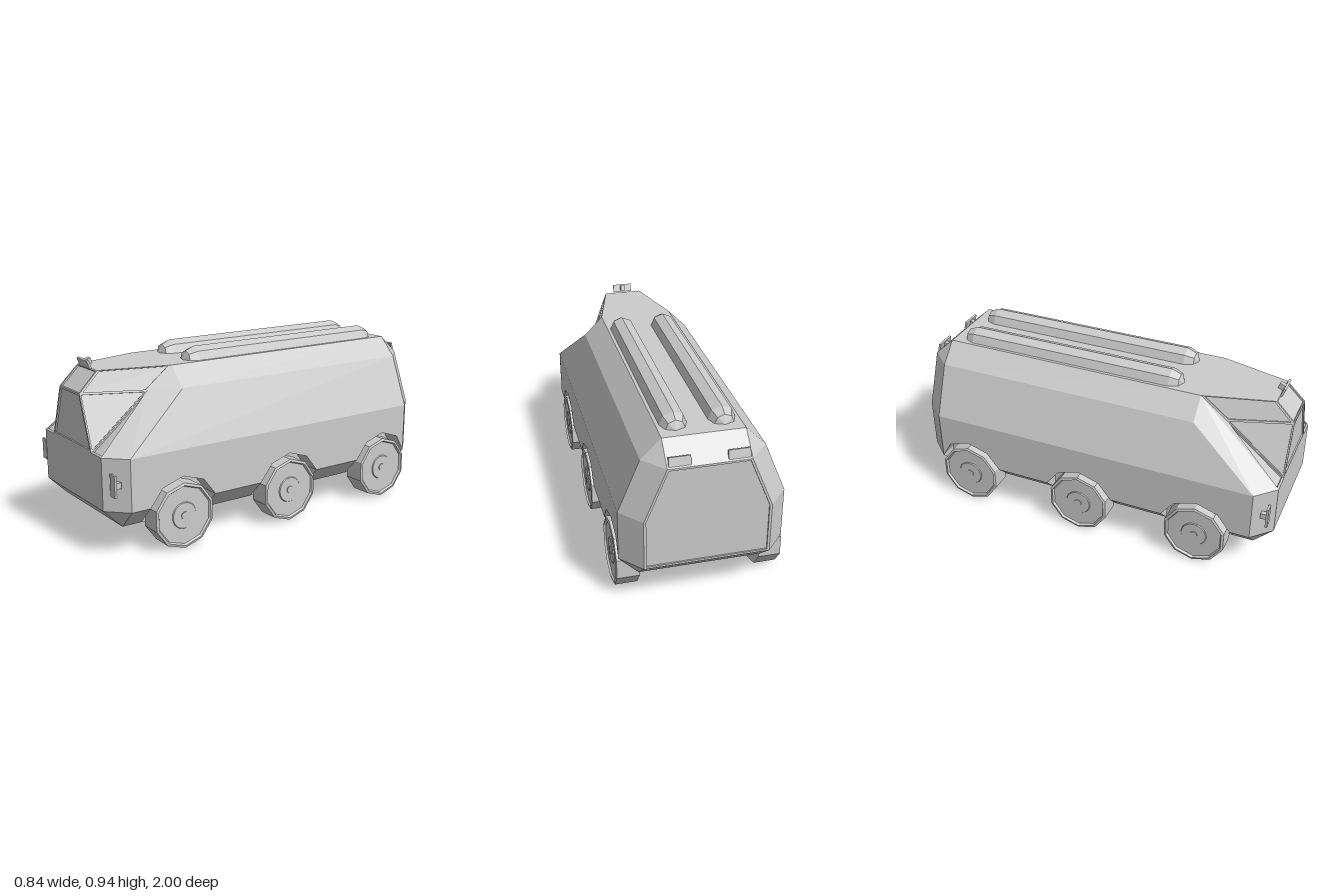
import * as THREE from 'three';

const mat = new THREE.MeshStandardMaterial({ color: 0xcccccc, flatShading: true, side: THREE.DoubleSide });
const CENTRE = new THREE.Vector3(0, 0.45, 0);
const WHEEL_Z = [0.61, -0.05, -0.72], WHEEL_Y = 0.171;
const FRONT = 0.9, REAR = -0.89;

function mesh(name, geo, parent, x = 0, y = 0, z = 0) {
  const m = new THREE.Mesh(geo, mat);
  m.name = name;
  m.position.set(x, y, z);
  parent.add(m);
  return m;
}

// Collects flat convex polygons and turns them into one faceted mesh
class Panels {
  constructor() { this.v = []; }
  poly(...p) {
    const a = new THREE.Vector3(...p[0]), n = this.normal(p);
    const mid = p.reduce((s, q) => s.add(new THREE.Vector3(...q)), new THREE.Vector3()).divideScalar(p.length);
    const q = n.dot(mid.sub(CENTRE)) < 0 ? [...p].reverse() : p;
    for (let i = 1; i < q.length - 1; i++) this.v.push(...q[0], ...q[i], ...q[i + 1]);
    return a;
  }
  normal(p) {
    const [a, b, c] = p.slice(0, 3).map(q => new THREE.Vector3(...q));
    return b.sub(a).cross(c.sub(a)).normalize();
  }
  // Polygon with a narrow frame around a recessed pane
  pane(p, margin = 0.07, depth = 0.008) {
    const pts = p.map(q => new THREE.Vector3(...q));
    const mid = pts.reduce((s, q) => s.add(q), new THREE.Vector3()).divideScalar(p.length);
    const n = this.normal(p);
    if (n.dot(mid.clone().sub(CENTRE)) < 0) n.negate();
    const inner = pts.map(q => q.clone().lerp(mid, margin));
    const deep = inner.map(q => q.clone().addScaledVector(n, -depth));
    p.forEach((q, i) => {
      const j = (i + 1) % p.length;
      this.poly(q, p[j], inner[j].toArray(), inner[i].toArray());
      this.poly(inner[i].toArray(), inner[j].toArray(), deep[j].toArray(), deep[i].toArray());
    });
    this.poly(...deep.map(q => q.toArray()));
  }
  // Symmetric polygon from its +x points, listed from one end to the other
  across(p) { return [...p, ...p.map(([x, y, z]) => [-x, y, z]).reverse()]; }
  build(name, parent) {
    const g = new THREE.BufferGeometry();
    g.setAttribute('position', new THREE.Float32BufferAttribute(this.v, 3));
    g.computeVertexNormals();
    return mesh(name, g, parent);
  }
}

// Lower edge of the side wall, stepping up over each wheel
function archPoints(zc) {
  return [[0.187, 0.245], [0.117, 0.335], [0, 0.373], [-0.117, 0.335], [-0.187, 0.245]]
    .map(([dz, y]) => [Math.max(zc + dz, REAR), y]);
}

function buildHull(parent) {
  const hull = new Panels(), arches = new Panels();
  const ring = [[0.31, 0.145], [0.41, 0.245], [0.41, 0.51], [0.3, 0.78], [0.2, 0.88]];
  const back = [[0.31, 0.245], [0.31, 0.245], [0.31, 0.51], [0.2, 0.78], [0.2, 0.78]];
  const edge = [[FRONT, 0.245], ...WHEEL_Z.flatMap(archPoints), [REAR, 0.245]];

  for (const s of [1, -1]) {
    const P = (x, y, z) => [s * x, y, z];
    // Side wall in strips above the wheel arches
    for (let i = 0; i < edge.length - 1; i++) {
      const [z0, y0] = edge[i], [z1, y1] = edge[i + 1];
      if (z0 - z1 < 1e-4) continue;
      hull.poly(P(0.41, y0, z0), P(0.41, y1, z1), P(0.41, 0.51, z1), P(0.41, 0.51, z0));
      if (i % 5 === 0) { // lower chamfer between arches
        hull.poly(P(0.41, y0, z0), P(0.41, y1, z1), P(0.31, 0.145, z1), P(0.31, 0.145, z0));
      } else { // arch lining and inner wall
        arches.poly(P(0.41, y0, z0), P(0.41, y1, z1), P(0.31, y1, z1), P(0.31, y0, z0));
        arches.poly(P(0.31, y0, z0), P(0.31, y1, z1), P(0.31, 0.145, z1), P(0.31, 0.145, z0));
      }
    }
    for (const zc of WHEEL_Z) for (const [z, y] of [archPoints(zc)[0], archPoints(zc)[4]])
      arches.poly(P(0.41, y, z), P(0.31, y, z), P(0.31, 0.145, z));
    // Sloped upper side and roof chamfer
    hull.poly(P(0.41, 0.51, FRONT), P(0.41, 0.51, REAR), P(0.3, 0.78, REAR), P(0.3, 0.78, 0.54));
    hull.poly(P(0.3, 0.78, 0.54), P(0.3, 0.78, REAR), P(0.2, 0.88, REAR), P(0.2, 0.88, 0.54));
    // Rear chamfers
    for (let i = 0; i < 4; i++) {
      const a = P(...ring[i], REAR), b = P(...ring[i + 1], REAR);
      const c = P(...back[i + 1], -1), d = P(...back[i], -1);
      if (i === 0) hull.poly(a, b, c);
      else if (i === 3) hull.poly(a, b, c);
      else hull.poly(a, b, c, d);
    }
    // Nose corners
    hull.poly(P(0.31, 0.245, 1), P(0.41, 0.245, FRONT), P(0.41, 0.51, FRONT), P(0.31, 0.51, 1));
    hull.poly(P(0.31, 0.245, 1), P(0.41, 0.245, FRONT), P(0.31, 0.145, FRONT));
  }
  // Floor, roof, nose and tail strips
  hull.poly(...hull.across([[0.31, 0.145, FRONT], [0.31, 0.145, REAR]]));
  hull.poly(...hull.across([[0.105, 0.88, FRONT], [0.2, 0.88, 0.54], [0.2, 0.88, REAR]]));
  hull.poly(...hull.across([[0.31, 0.245, 1], [0.31, 0.51, 1]]));
  hull.poly(...hull.across([[0.31, 0.145, FRONT], [0.31, 0.245, 1]]));
  hull.poly(...hull.across([[0.31, 0.145, REAR], [0.31, 0.245, -1]]));
  hull.poly(...hull.across([[0.2, 0.88, REAR], [0.2, 0.78, -1]]));
  hull.build('hull', parent);
  arches.build('wheelArches', parent);

  const door = new Panels();
  door.pane(door.across([[0.31, 0.245, -1], [0.31, 0.51, -1], [0.2, 0.78, -1]]), 0.04);
  door.build('rearDoor', parent);
}

function buildCab(parent) {
  const pillars = new Panels(), glass = new Panels(), visor = new Panels();
  for (const s of [1, -1]) {
    const P = (x, y, z) => [s * x, y, z];
    const pocket = P(0.2, 0.77, 0.68), sill = P(0.21, 0.51, 1), brow = P(0.11, 0.78, 1);
    pillars.poly(pocket, P(0.31, 0.51, 1), P(0.41, 0.51, FRONT), P(0.3, 0.78, 0.54), P(0.2, 0.88, 0.54));
    pillars.pane([sill, P(0.31, 0.51, 1), pocket], 0.08);
    glass.pane([sill, brow, pocket], 0.07);
    visor.pane([P(0.105, 0.88, FRONT), P(0.2, 0.88, 0.54), pocket, brow], 0.08);
  }
  glass.pane(glass.across([[0.21, 0.51, 1], [0.11, 0.78, 1]]), 0.08);
  visor.pane(visor.across([[0.11, 0.78, 1], [0.105, 0.88, FRONT]]), 0.09);
  pillars.build('cabPillars', parent);
  glass.build('cabWindows', parent);
  visor.build('cabVisor', parent);
}

function buildWheel(parent, s, z) {
  const wheel = new THREE.Group();
  wheel.name = 'wheel';
  const profile = [[0, 0], [0.17, 0], [0.17, 0.113], [0.157, 0.117], [0.15, 0.106], [0, 0.106]]
    .map(p => new THREE.Vector2(...p));
  mesh('tyre', new THREE.LatheGeometry(profile, 10, Math.PI / 2), wheel);
  mesh('rim', new THREE.CylinderGeometry(0.066, 0.07, 0.006, 20), wheel, 0, 0.108);
  mesh('hub', new THREE.CylinderGeometry(0.02, 0.02, 0.008, 12), wheel, 0, 0.112);
  wheel.rotation.z = -s * Math.PI / 2;
  wheel.position.set(s * 0.304, WHEEL_Y, z);
  parent.add(wheel);
}

// Flat lamp plate on a short stem; dir is the way it faces along z
function buildLamp(parent, name, [w, h], [x, y, z], dir, tilt = 0) {
  const lamp = new THREE.Group();
  lamp.name = name;
  mesh('plate', new THREE.BoxGeometry(w, h, 0.012), lamp);
  mesh('stem', new THREE.BoxGeometry(0.025, 0.03, 0.035), lamp, 0, 0, -dir * 0.018);
  lamp.position.set(x, y, z);
  lamp.rotation.x = tilt;
  parent.add(lamp);
}

export function createModel() {
  const model = new THREE.Group();
  model.name = 'armouredCarrier';
  buildHull(model);
  buildCab(model);
  for (const s of [1, -1]) {
    for (const z of WHEEL_Z) buildWheel(model, s, z);
    // Long roof pods, half sunk into the roof
    const pod = new THREE.CapsuleGeometry(0.068, 1.13, 2, 8).rotateX(Math.PI / 2);
    mesh('roofPod', pod, model, s * 0.117, 0.876, -0.208);
    buildLamp(model, 'headlight', [0.045, 0.11], [s * 0.378, 0.385, 0.976], 1);
    buildLamp(model, 'rearLamp', [0.105, 0.045], [s * 0.14, 0.808, -0.985], -1, 0.25);
  }
  buildLamp(model, 'roofLamp', [0.108, 0.045], [0, 0.902, 0.915], 1, 0.35);
  return model;
}
